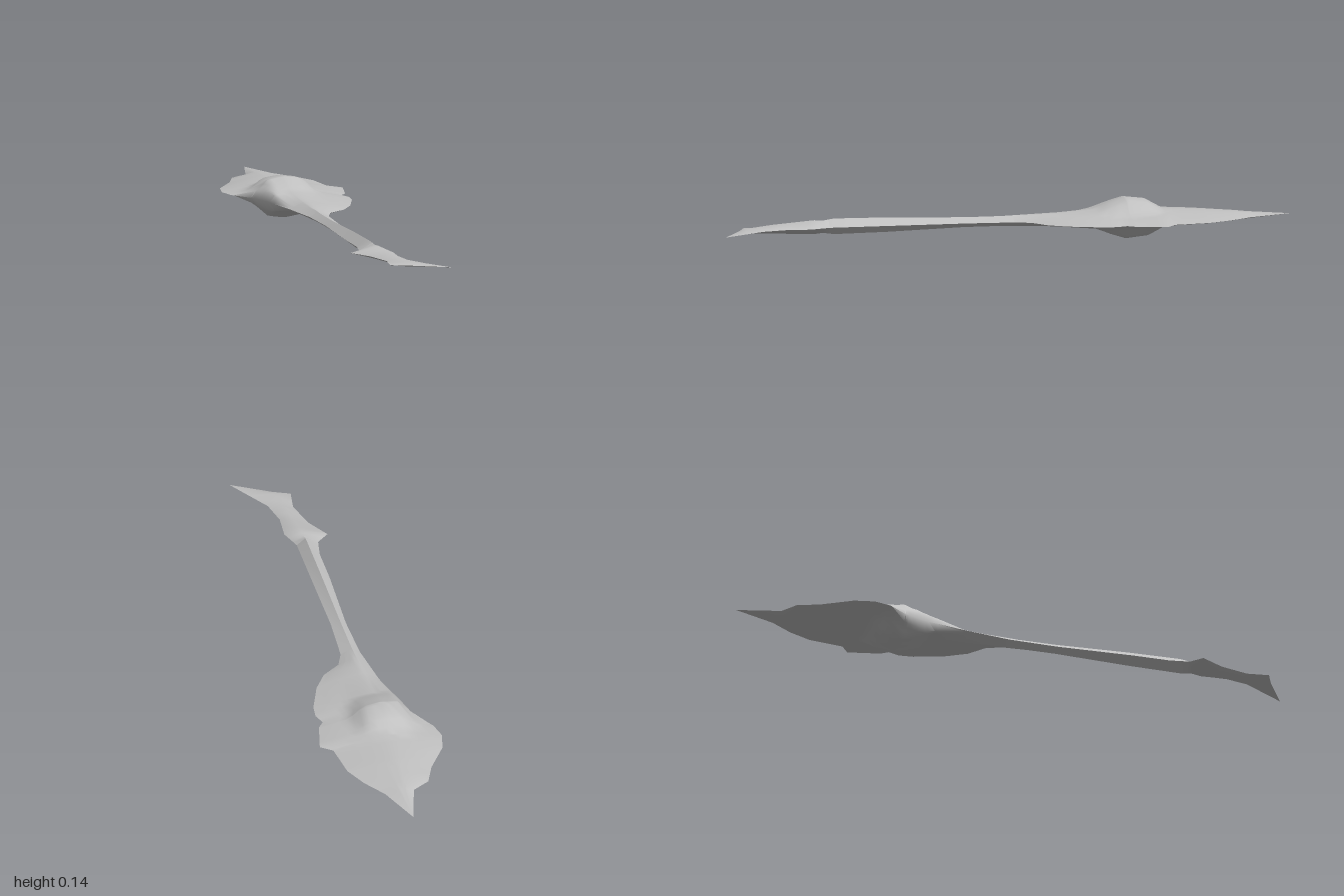
import * as THREE from 'three';
import { toCreasedNormals } from 'three/addons/utils/BufferGeometryUtils.js';

const MID = 0.072; // height of the sharp rim

// outline and profile curves as [position, value] pairs
const leftEdge = [[-1, 0], [-0.85, -0.04], [-0.815, -0.1], [-0.74, -0.13], [-0.64, -0.195], [-0.57, -0.21],
  [-0.51, -0.195], [-0.44, -0.145], [-0.345, -0.11], [-0.195, -0.08], [-0.04, -0.057], [0.13, -0.052], [0.4, -0.063],
  [0.53, -0.063], [0.6, -0.075], [0.635, -0.117], [0.715, -0.07], [0.815, -0.042], [0.89, -0.053],
  [0.915, 0.005], [0.99, 0.137]];
const rightEdge = [[-1, 0], [-0.85, 0.06], [-0.77, 0.115], [-0.69, 0.153], [-0.565, 0.17], [-0.535, 0.21],
  [-0.425, 0.185], [-0.4, 0.165], [-0.36, 0.18], [-0.31, 0.175], [-0.205, 0.137], [-0.14, 0.095],
  [-0.095, 0.032], [-0.04, 0.01], [0.13, 0], [0.4, 0], [0.6, 0], [0.67, 0.026], [0.755, 0.02],
  [0.84, 0.04], [0.99, 0.137]];
const ridgeX = [[-1, 0], [-0.85, 0], [-0.6, -0.02], [-0.4, -0.03], [0.6, -0.03], [0.8, -0.01], [0.89, 0.01],
  [0.915, 0.045], [0.99, 0.137]];
const ridgeHeight = [[-1, 0], [-0.85, 0.012], [-0.7, 0.023], [-0.5, 0.031], [-0.32, 0.033], [-0.2, 0.024],
  [0, 0.017], [0.13, 0.017], [0.4, 0.025], [0.58, 0.027], [0.62, 0.021], [0.65, 0.024], [0.8, 0.015], [0.99, 0]];
const roundness = [[-1, 1], [-0.8, 1.4], [-0.3, 1.4], [-0.1, 1]];
const bossAcross = [[-0.17, 0], [-0.12, 0.03], [-0.09, 0.063], [-0.03, 0.072], [0.03, 0.063], [0.07, 0.028], [0.11, 0]];
const bossAlong = [[-0.66, 0], [-0.56, 0.4], [-0.5, 0.88], [-0.43, 1], [-0.38, 0.78], [-0.32, 0.45], [-0.2, 0]];

function sample(curve, p) {
  if (p <= curve[0][0]) return curve[0][1];
  for (let i = 1; i < curve.length; i++) {
    const [p0, v0] = curve[i - 1], [p1, v1] = curve[i];
    if (p <= p1) return v0 + (v1 - v0) * (p - p0) / (p1 - p0);
  }
  return curve[curve.length - 1][1];
}

// half thickness: a ridge falling to the rim, raised by the boss
function halfThickness(x, z, t) {
  const s = Math.abs(t);
  if (s === 1) return 0;
  const ridge = sample(ridgeHeight, z) * (1 - s ** sample(roundness, z));
  return Math.max(ridge, sample(bossAcross, x) * sample(bossAlong, z));
}

// skin both faces between two stations, mirrored about the rim plane
function section(name, z0, z1, perSide, material) {
  const stations = [...new Set([leftEdge, rightEdge, ridgeX, ridgeHeight, bossAlong].flat().map(p => p[0]))]
    .filter(z => z >= z0 && z <= z1).sort((a, b) => a - b);
  const columns = perSide * 2 + 1, positions = [], index = [];
  for (const side of [1, -1]) {
    const base = positions.length / 3;
    stations.forEach((z, i) => {
      const l = sample(leftEdge, z), r = sample(rightEdge, z), c = sample(ridgeX, z);
      for (let j = 0; j < columns; j++) {
        const t = j / perSide - 1;
        const x = t < 0 ? c + (c - l) * t : c + (r - c) * t;
        positions.push(x, MID + side * halfThickness(x, z, t), z);
        if (i === 0 || j === 0) continue;
        const d = base + i * columns + j, b = d - 1, u = d - columns, a = u - 1;
        if (side > 0) index.push(a, b, d, a, d, u);
        else index.push(a, d, b, a, u, d);
      }
    });
  }
  const geometry = new THREE.BufferGeometry();
  geometry.setAttribute('position', new THREE.Float32BufferAttribute(positions, 3));
  geometry.setIndex(index);
  const mesh = new THREE.Mesh(toCreasedNormals(geometry, 0.95), material);
  mesh.name = name;
  return mesh;
}

export function createModel() {
  const steel = new THREE.MeshStandardMaterial({ color: 0xc0c0c0 });
  steel.name = 'grey steel';
  const group = new THREE.Group();
  group.name = 'bladedStaff';
  group.add(
    section('bladeWithBoss', -1, -0.04, 9, steel),
    section('shaft', -0.04, 0.6, 1, steel),
    section('forkedTail', 0.6, 0.99, 1, steel),
  );
  return group;
}
